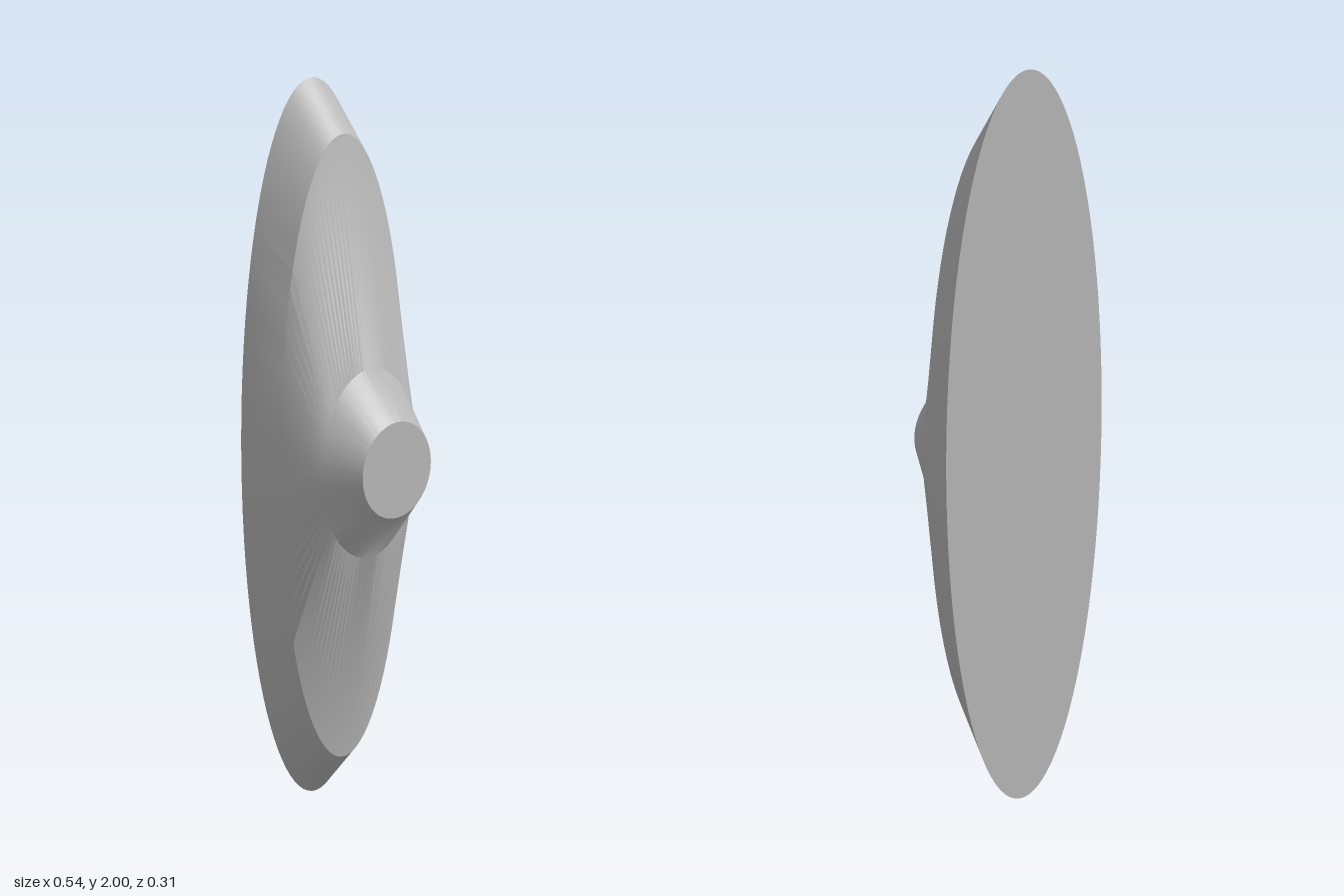
import * as THREE from 'three';
import { toCreasedNormals } from 'three/addons/utils/BufferGeometryUtils.js';

const SEGMENTS = 96;

// Elliptical cross-sections from the back face to the hub: z, half width, half height
const RINGS = [
  [-0.156, 0.268, 1.0],
  [-0.039, 0.236, 0.86],
  [0.058, 0.181, 0.257],
  [0.156, 0.129, 0.129],
];

function ringPoint([z, rx, ry], j) {
  const a = (j / SEGMENTS) * Math.PI * 2;
  return [rx * Math.cos(a), 1 + ry * Math.sin(a), z];
}

function makeGeometry(positions) {
  const geometry = new THREE.BufferGeometry();
  geometry.setAttribute('position', new THREE.Float32BufferAttribute(positions, 3));
  return toCreasedNormals(geometry, 0.5);
}

// Skin joining successive cross-sections
function loft(rings) {
  const p = [];
  for (let i = 0; i < rings.length - 1; i++) {
    for (let j = 0; j < SEGMENTS; j++) {
      const a = ringPoint(rings[i], j), b = ringPoint(rings[i], j + 1);
      const c = ringPoint(rings[i + 1], j + 1), d = ringPoint(rings[i + 1], j);
      p.push(...a, ...b, ...c, ...a, ...c, ...d);
    }
  }
  return makeGeometry(p);
}

// Flat elliptical end face
function cap(ring, facesFront) {
  const p = [];
  for (let j = 0; j < SEGMENTS; j++) {
    const a = ringPoint(ring, j), b = ringPoint(ring, j + 1);
    p.push(0, 1, ring[0], ...(facesFront ? a : b), ...(facesFront ? b : a));
  }
  return makeGeometry(p);
}

export function createModel() {
  const model = new THREE.Group();
  model.name = 'ovalPlateWithHub';
  const grey = new THREE.MeshStandardMaterial({ color: 0xb8b8b8 });
  grey.name = 'grey';

  const add = (name, geometry) => {
    const mesh = new THREE.Mesh(geometry, grey);
    mesh.name = name;
    model.add(mesh);
  };
  add('taperedBody', loft(RINGS));
  add('backFace', cap(RINGS[0], false));
  add('hubFace', cap(RINGS[RINGS.length - 1], true));
  return model;
}
